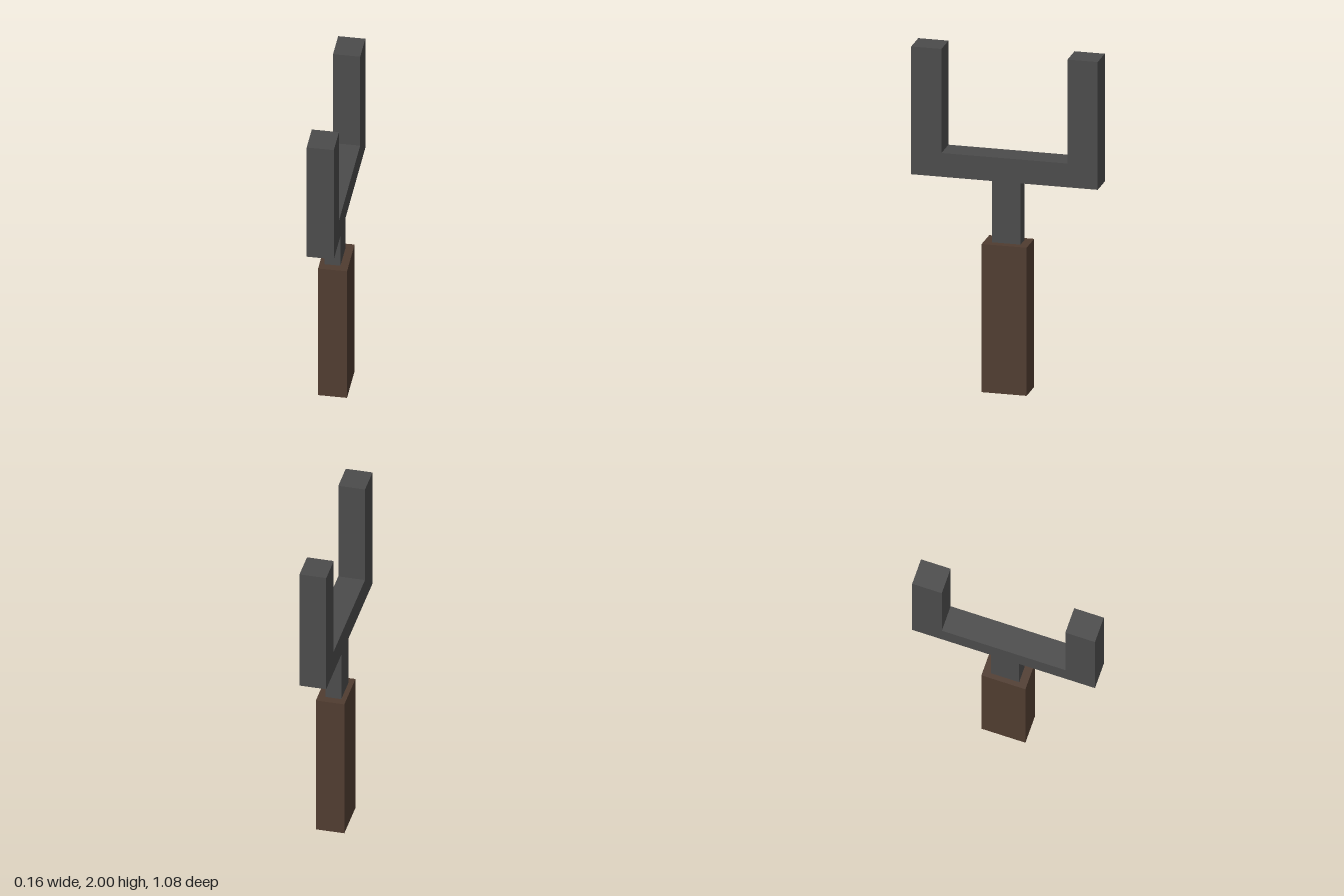
import * as THREE from 'three';

const metal = new THREE.MeshStandardMaterial({ color: 0x4b4b4b });
const wood = new THREE.MeshStandardMaterial({ color: 0x503c30 });

// Box given by its extents in x, y and z
function block(name, material, [x0, x1], [y0, y1], [z0, z1]) {
  const geometry = new THREE.BoxGeometry(x1 - x0, y1 - y0, z1 - z0);
  geometry.translate((x0 + x1) / 2, (y0 + y1) / 2, (z0 + z1) / 2);
  const mesh = new THREE.Mesh(geometry, material);
  mesh.name = name;
  return mesh;
}

// Square U with two upright prongs, drawn in the z-y plane and extruded along x
function buildFork() {
  const outer = 0.54, inner = 0.365;
  const bottom = 1.247, barTop = 1.387, top = 2;
  const xMin = -0.079, xMax = 0.075;
  const outline = [
    [-outer, bottom], [outer, bottom], [outer, top], [inner, top],
    [inner, barTop], [-inner, barTop], [-inner, top], [-outer, top],
  ].map(([z, y]) => new THREE.Vector2(z, y));
  const geometry = new THREE.ExtrudeGeometry(new THREE.Shape(outline), {
    depth: xMax - xMin,
    bevelEnabled: false,
  });
  geometry.rotateY(-Math.PI / 2).translate(xMax, 0, 0);
  const mesh = new THREE.Mesh(geometry, metal);
  mesh.name = 'fork';
  return mesh;
}

export function createModel() {
  const model = new THREE.Group();
  model.name = 'twoProngedFork';
  model.add(
    block('handle', wood, [-0.082, 0.082], [0, 0.873], [-0.13, 0.13]),
    block('shaft', metal, [-0.053, 0.037], [0.873, 1.247], [-0.083, 0.083]),
    buildFork(),
  );
  return model;
}
